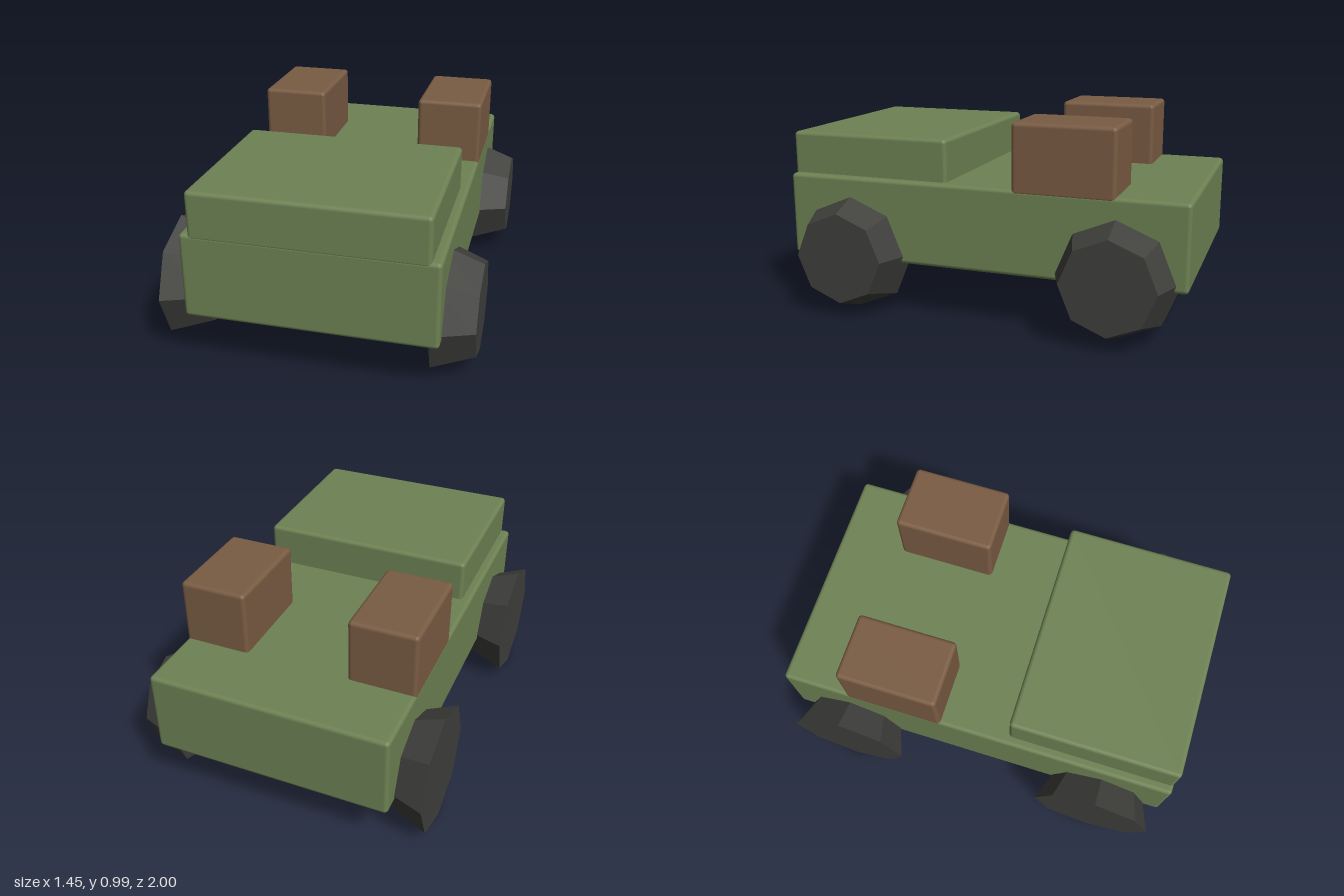
import * as THREE from 'three';
import { RoundedBoxGeometry } from 'three/addons/geometries/RoundedBoxGeometry.js';

function material(name, color, flatShading = false) {
  const m = new THREE.MeshStandardMaterial({ color, flatShading });
  m.name = name;
  return m;
}

// Softly bevelled box given by its extents on each axis
function block(name, mat, [x0, x1], [y0, y1], [z0, z1]) {
  const geometry = new RoundedBoxGeometry(x1 - x0, y1 - y0, z1 - z0, 2, 0.02);
  const mesh = new THREE.Mesh(geometry, mat);
  mesh.name = name;
  mesh.position.set((x0 + x1) / 2, (y0 + y1) / 2, (z0 + z1) / 2);
  return mesh;
}

export function createModel() {
  const green = material('olive green', 0x6e8253);
  const brown = material('seat brown', 0x7a5c43);
  const rubber = material('tyre black', 0x3f3f3c, true);

  const car = new THREE.Group();
  car.name = 'openCar';

  // Body and raised bonnet
  car.add(block('body', green, [-0.583, 0.583], [0.263, 0.677], [-1, 1]));
  car.add(block('bonnet', green, [-0.54, 0.54], [0.65, 0.883], [0.17, 1]));

  // Two seats, flush with the body sides
  car.add(block('leftSeat', brown, [0.253, 0.583], [0.65, 0.99], [-0.665, -0.172]));
  car.add(block('rightSeat', brown, [-0.583, -0.253], [0.65, 0.99], [-0.665, -0.172]));

  // Eight-sided wheels, all tapering towards +x
  const wheelGeometry = new THREE.CylinderGeometry(0.225, 0.3, 0.198, 8);
  wheelGeometry.rotateZ(-Math.PI / 2);
  for (const [end, z] of [['front', 0.667], ['back', -0.667]]) {
    for (const [side, x] of [['Left', 0.626], ['Right', -0.626]]) {
      const wheel = new THREE.Mesh(wheelGeometry, rubber);
      wheel.name = `${end}${side}Wheel`;
      wheel.position.set(x, 0.3, z);
      car.add(wheel);
    }
  }
  return car;
}
